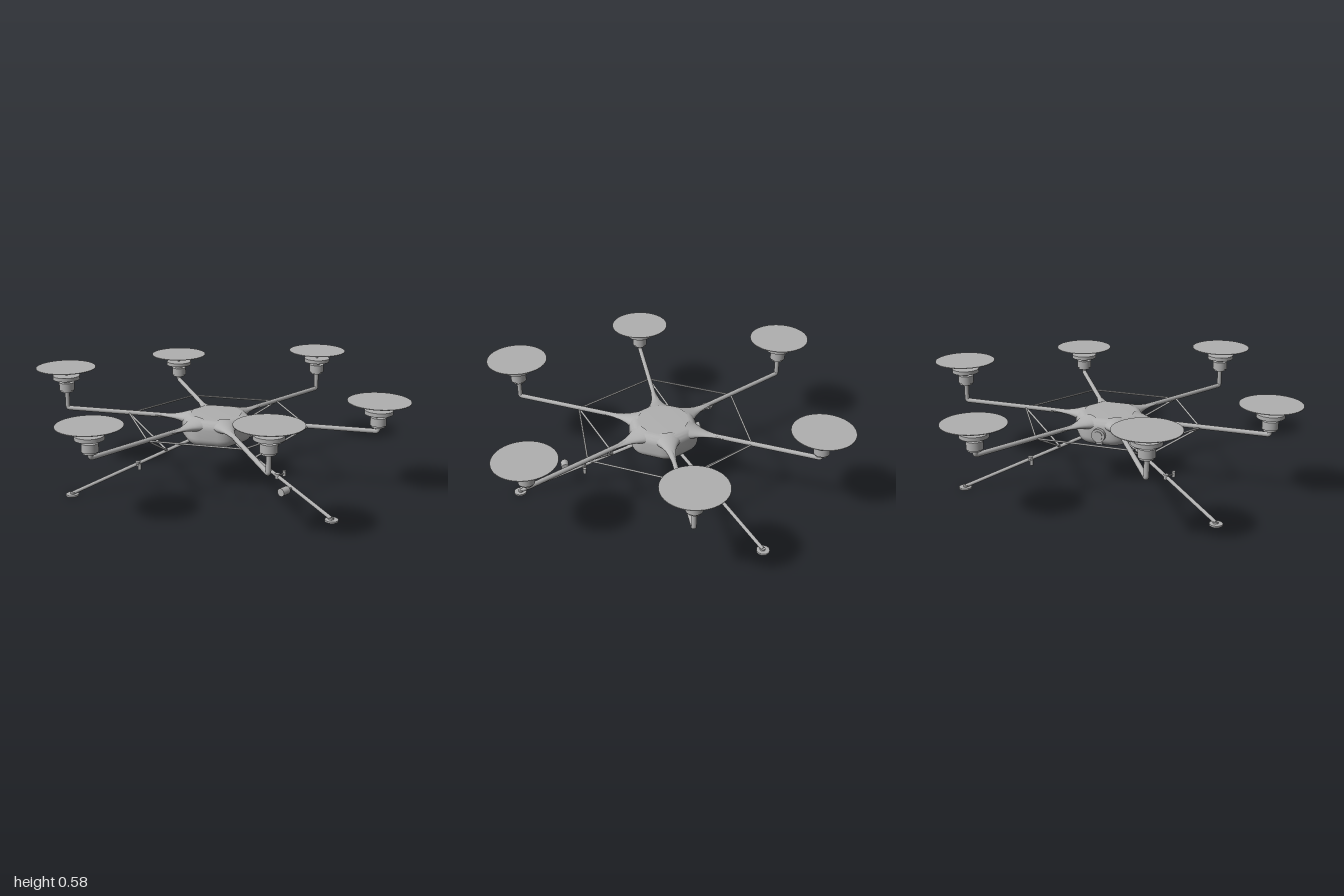
import * as THREE from 'three';
import { toCreasedNormals } from 'three/addons/utils/BufferGeometryUtils.js';

const ARM_Y = 0.347, ARM_R = 0.84, RING_R = 0.485;

export function createModel() {
  const grey = new THREE.MeshStandardMaterial({ color: 0xb0b0b0 });
  grey.name = 'plain grey';
  const model = new THREE.Group();
  model.name = 'hexacopter';

  const add = (parent, name, geometry) => {
    const mesh = new THREE.Mesh(geometry, grey);
    mesh.name = name;
    parent.add(mesh);
    return mesh;
  };
  // upright cylinder between two heights
  const disc = (parent, name, r, y0, y1, x = 0, z = 0, seg = 40) => {
    const mesh = add(parent, name, new THREE.CylinderGeometry(r, r, y1 - y0, seg));
    mesh.position.set(x, (y0 + y1) / 2, z);
    return mesh;
  };
  // straight rod between two points
  const rod = (parent, name, a, b, r, seg = 12) => {
    const d = b.clone().sub(a);
    const mesh = add(parent, name, new THREE.CylinderGeometry(r, r, d.length(), seg));
    mesh.position.copy(a).add(b).multiplyScalar(0.5);
    mesh.quaternion.setFromUnitVectors(new THREE.Vector3(0, 1, 0), d.normalize());
    return mesh;
  };
  const polar = (r, deg, y) => {
    const t = THREE.MathUtils.degToRad(deg);
    return new THREE.Vector3(r * Math.cos(t), y, r * Math.sin(t));
  };
  const spoke = (name, deg) => {
    const g = new THREE.Group();
    g.name = name;
    g.rotation.y = -THREE.MathUtils.degToRad(deg);
    model.add(g);
    return g;
  };

  // Body: hexagon with rounded corners and soft edges
  const hex = new THREE.Shape();
  const corners = [0, 1, 2, 3, 4, 5].map((i) => {
    const t = (i * Math.PI) / 3;
    return new THREE.Vector2(0.15 * Math.cos(t), 0.15 * Math.sin(t));
  });
  corners.forEach((c, i) => {
    const p = c.clone().lerp(corners[(i + 5) % 6], 0.2);
    const n = c.clone().lerp(corners[(i + 1) % 6], 0.2);
    if (i === 0) hex.moveTo(p.x, p.y); else hex.lineTo(p.x, p.y);
    hex.quadraticCurveTo(c.x, c.y, n.x, n.y);
  });
  hex.closePath();
  const bodyGeo = new THREE.ExtrudeGeometry(hex, {
    depth: 0.05, bevelThickness: 0.045, bevelSize: 0.045, bevelSegments: 8, curveSegments: 6,
  });
  bodyGeo.rotateX(-Math.PI / 2).translate(0, 0.285, 0);
  add(model, 'body', toCreasedNormals(bodyGeo, 0.6));

  // Sensor under the belly
  disc(model, 'bellySensor', 0.035, 0.233, 0.25);
  disc(model, 'bellyLens', 0.02, 0.229, 0.24);

  // Fittings on the back face
  const back = (name, r, x, y, z0, z1) =>
    rod(model, name, new THREE.Vector3(x, y, z0), new THREE.Vector3(x, y, z1), r, 32);
  back('rearCamera', 0.036, 0, 0.305, -0.16, -0.195);
  back('rearLens', 0.024, 0, 0.305, -0.19, -0.2);
  const port = add(model, 'rearPort', new THREE.BoxGeometry(0.035, 0.014, 0.03));
  port.position.set(0, 0.26, -0.163);

  // Six arms with motors at alternating heights
  const flareProfile = [[0.078, 0.13], [0.06, 0.165], [0.042, 0.195], [0.028, 0.23],
    [0.02, 0.27], [0.014, 0.32], [0.011, 0.36]].map(([r, y]) => new THREE.Vector2(r, y));
  for (let i = 0; i < 6; i++) {
    const lift = i % 2 === 0 ? 0.07 : 0;
    const arm = spoke('arm' + (i + 1), i * 60);

    const flare = add(arm, 'armRoot', new THREE.LatheGeometry(flareProfile, 24).rotateZ(-Math.PI / 2));
    flare.scale.y = 0.5;
    flare.position.y = ARM_Y;

    const path = new THREE.CurvePath();
    const a = new THREE.Vector3(0.15, ARM_Y, 0);
    const b = new THREE.Vector3(ARM_R - 0.012, ARM_Y, 0);
    const c = new THREE.Vector3(ARM_R, ARM_Y + 0.012, 0);
    path.add(new THREE.LineCurve3(a, b));
    path.add(new THREE.QuadraticBezierCurve3(b, new THREE.Vector3(ARM_R, ARM_Y, 0), c));
    path.add(new THREE.LineCurve3(c, new THREE.Vector3(ARM_R, 0.38 + lift, 0)));
    add(arm, 'armTube', new THREE.TubeGeometry(path, 160, 0.0125, 16));

    disc(arm, 'motorBase', 0.034, 0.37 + lift, 0.382 + lift, ARM_R);
    disc(arm, 'motor', 0.041, 0.38 + lift, 0.422 + lift, ARM_R);
    disc(arm, 'motorNeck', 0.02, 0.42 + lift, 0.442 + lift, ARM_R);
    disc(arm, 'motorCap', 0.072, 0.44 + lift, 0.46 + lift, ARM_R);
    disc(arm, 'rotorShaft', 0.006, 0.458 + lift, 0.505 + lift, ARM_R, 0, 12);
    disc(arm, 'rotorDisc', 0.16, 0.503 + lift, 0.506 + lift, ARM_R, 0, 64);

    rod(model, 'ringStrut', polar(RING_R, i * 60, 0.342), polar(RING_R, i * 60 + 60, 0.342), 0.005);
  }

  // Three landing legs, each braced to the two nearest arms
  [90, 210, 330].forEach((deg) => {
    const leg = spoke('landingLeg', deg);
    const legY = (r) => 0.013 + (0.77 - r) * 0.37;
    const at = (r) => new THREE.Vector3(r, legY(r), 0);
    rod(leg, 'legTube', at(0.1), at(0.77), 0.0095, 16);
    disc(leg, 'foot', 0.033, 0, 0.009, 0.773);
    disc(leg, 'footHub', 0.013, 0.006, 0.017, 0.77);
    for (const s of [-30, 30]) {
      rod(leg, 'legBrace', at(0.27), polar(RING_R, s, 0.342), 0.0055);
    }

    // Small side sensor on a peg
    const y = legY(0.427);
    rod(leg, 'sensorPeg', at(0.427), new THREE.Vector3(0.427, y, -0.053), 0.004);
    disc(leg, 'sideSensor', 0.009, y - 0.015, y + 0.015, 0.427, -0.053, 16);
    disc(leg, 'sensorClamp', 0.013, y - 0.013, y + 0.013, 0.427, 0, 16);

    // Canister on the front leg
    if (deg === 90) {
      const cy = legY(0.525);
      const p = (z) => new THREE.Vector3(0.525, cy, z);
      rod(leg, 'canisterPeg', at(0.525), p(0.05), 0.004);
      rod(leg, 'canister', p(0.04), p(0.09), 0.021, 24);
    }
  });

  return model;
}
